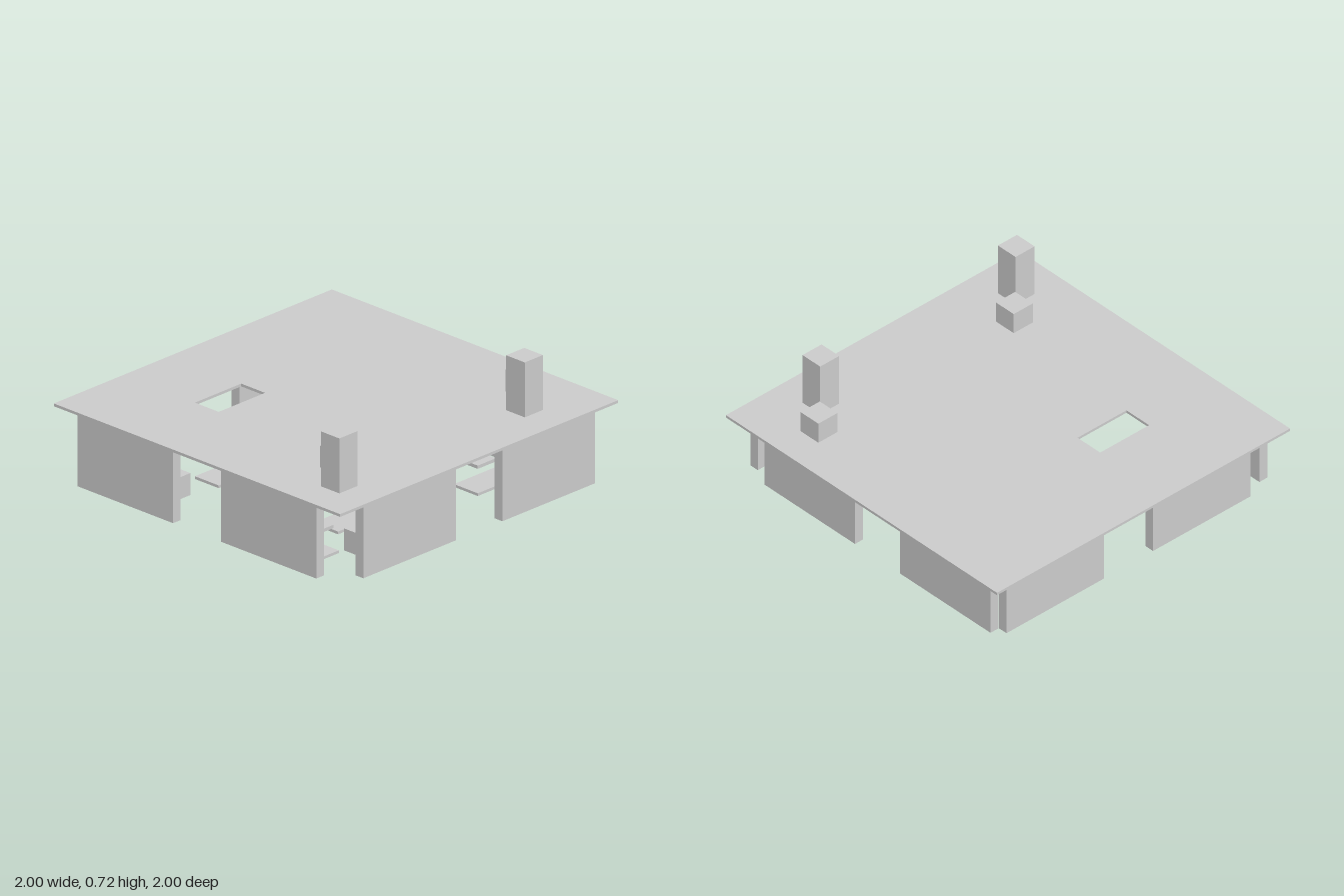
import * as THREE from 'three';

export function createModel() {
  const model = new THREE.Group();
  const grey = new THREE.MeshStandardMaterial({ color: 0xcccccc });
  grey.name = 'light grey';

  const cell = 1 / 6;
  const FLOOR = 0.018, ROOF = 0.42, SLAB = 0.015;

  // Box given by its lower and upper limits on each axis
  function block(name, x0, x1, y0, y1, z0, z1) {
    const mesh = new THREE.Mesh(new THREE.BoxGeometry(x1 - x0, y1 - y0, z1 - z0), grey);
    mesh.position.set((x0 + x1) / 2, (y0 + y1) / 2, (z0 + z1) / 2);
    mesh.name = name;
    model.add(mesh);
  }

  // Small square item in the middle of a grid cell
  function item(name, i, k, y0, y1) {
    const x = (i + 0.5) * cell, z = (k + 0.5) * cell, h = 0.065;
    block(name, x - h, x + h, y0, y1, z - h, z + h);
  }

  // Upper slab with a rectangular opening
  const slab = new THREE.Shape([[-1, -1], [1, -1], [1, 1], [-1, 1]].map(p => new THREE.Vector2(...p)));
  slab.holes.push(new THREE.Path(
    [[-3, 2], [-3, 3], [-1, 3], [-1, 2]].map(([x, y]) => new THREE.Vector2(x * cell, y * cell))));
  const slabGeo = new THREE.ExtrudeGeometry(slab, { depth: SLAB, bevelEnabled: false });
  slabGeo.rotateX(-Math.PI / 2);
  const upperFloor = new THREE.Mesh(slabGeo, grey);
  upperFloor.position.y = ROOF - SLAB;
  upperFloor.name = 'upperFloor';
  model.add(upperFloor);

  // Outer walls, two on each side with a doorway between them
  const top = ROOF - SLAB;
  for (const [a, b] of [[-5 * cell, -cell], [cell, 5 * cell]]) {
    block('frontWall', a, b, FLOOR, top, 0.945, 1);
    block('backWall', a, b, FLOOR, top, -0.89, -0.835);
    block('rightWall', -1, -0.945, FLOOR, top, a, b);
    block('leftWall', 0.835, 0.89, FLOOR, top, a, b);
  }

  // Floor tiles: first cell, then size in cells
  const tiles = [[1, -2, 1, 2], [2, 3, 2, 1], [-3, 2, 2, 1], [-5, 2, 1, 2], [-3, -3, 1, 1]];
  for (const [i, k, w, d] of tiles) {
    block('floorTile', i * cell, (i + w) * cell, 0.003, FLOOR, k * cell, (k + d) * cell);
    // Raised shelves over both ends of the long tiles
    if (w + d > 2) {
      item('shelf', i, k, 0.14, 0.158);
      item('shelf', i + w - 1, k + d - 1, 0.14, 0.158);
    }
  }
  item('lowPlate', 1, 2, FLOOR, 0.036);

  // Pillars and low blocks on the ground level
  for (const [i, k] of [[-2, 0], [-2, 4]]) item('pillar', i, k, FLOOR, 0.318);
  for (const [i, k] of [[-3, 4], [-4, 4], [-5, -3], [-5, -4], [-5, -5]]) item('lowBlock', i, k, FLOOR, 0.138);

  // Pillars and low blocks on the upper level
  for (const [i, k] of [[-5, 4], [3, 4]]) item('upperPillar', i, k, ROOF, 0.72);
  for (const [i, k] of [[-4, 3], [4, 3]]) item('upperBlock', i, k, ROOF, 0.54);

  // Rest the lowest tiles on the ground
  for (const part of model.children) part.position.y -= 0.003;
  return model;
}
